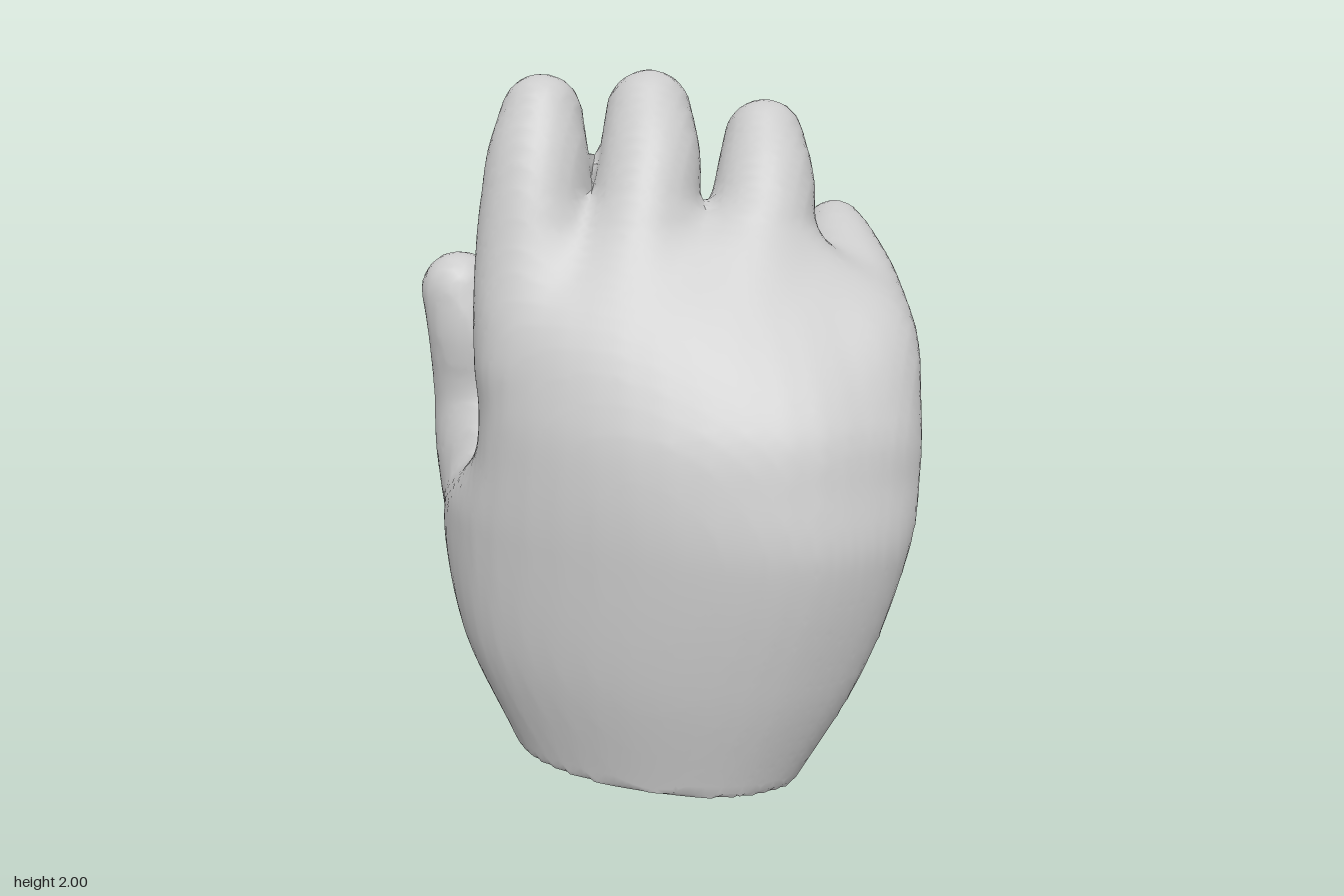
import * as THREE from 'three';
import { toCreasedNormals } from 'three/addons/utils/BufferGeometryUtils.js';

const V = (x, y, z) => new THREE.Vector3(x, y, z);

// Digits: stations are [x, y, z, radius] from root to tip.
const THUMB = [
  [-.24, -.1, -.04, .15], [-.39, .3, -.1, .215], [-.475, .55, -.105, .24], [-.565, .8, -.105, .2],
  [-.625, 1.0, -.11, .15], [-.645, 1.2, -.075, .13], [-.675, 1.325, -.075, .118],
];
const FINGERS = [
  [[-.32, 1.2, .27, .13], [-.335, 1.5, .19, .15], [-.345, 1.72, .11, .15], [-.35, 1.875, .05, .118]],
  [[-.04, 1.2, .27, .13], [-.04, 1.5, .12, .15], [-.045, 1.72, -.01, .15], [-.075, 1.875, -.105, .125]],
  [[.25, 1.15, .2, .13], [.27, 1.42, .02, .15], [.265, 1.64, -.14, .15], [.24, 1.795, -.235, .118]],
  [[.62, 1.0, .14, .12], [.59, 1.23, -.01, .15], [.525, 1.345, -.2, .145], [.445, 1.445, -.38, .122], [.41, 1.5, -.475, .092]],
];

// Palm sections [x, z]: thumb side, along the back, little finger side, hollow.
const PALM = [
  [0, [[-.43, .12], [-.31, .34], [.05, .47], [.35, .42], [.48, .27], [.36, .1], [.05, .02], [-.22, -.03]]],
  [.35, [[-.62, .05], [-.46, .36], [.05, .54], [.48, .46], [.665, .24], [.46, .02], [.08, .14], [-.17, .02]]],
  [.72, [[-.65, .08], [-.45, .4], [.1, .57], [.58, .47], [.78, .2], [.6, -.04], [.14, .18], [-.22, .07]]],
  [.92, [[-.5, .16], [-.41, .41], [.08, .56], [.57, .44], [.79, .14], [.63, -.09], [.16, .18], [-.28, .11]]],
  [1.1, [[-.48, .21], [-.38, .42], [.05, .52], [.56, .38], [.77, .1], [.63, -.13], [.2, .13], [-.3, .14]]],
  [1.35, [[-.47, .24], [-.38, .38], [0, .4], [.46, .23], [.68, .02], [.57, -.17], [.22, -.02], [-.3, .08]]],
  [1.6, [[-.46, .17], [-.38, .25], [-.03, .18], [.26, .07], [.36, -.04], [.32, -.17], [.08, -.06], [-.3, .04]]],
];
const PALM_TOP = 1.6;

// Soft minimum, used to melt one form into the next.
function blend(a, b, k) {
  const h = Math.max(k - Math.abs(a - b), 0) / k;
  return Math.min(a, b) - h * h * k / 4;
}

// Distance to a row of closely spaced balls along a digit.
function digitField(stations) {
  const curve = pts => new THREE.CatmullRomCurve3(pts, false, 'catmullrom');
  const path = curve(stations.map(s => V(s[0], s[1], s[2])));
  const size = curve(stations.map((s, i) => V(s[3], i, 0)));
  const balls = Array.from({ length: 30 }, (_, i) => ({ c: path.getPoint(i / 29), r: size.getPoint(i / 29).x }));
  return (x, y, z) => {
    let d = Infinity;
    for (const { c, r } of balls) d = Math.min(d, Math.hypot(x - c.x, y - c.y, z - c.z) - r);
    return d;
  };
}

// Outline of the palm at height y: smooth loops, eased from section to section.
const palmLoops = PALM.map(([y, pts]) => {
  const loop = new THREE.CatmullRomCurve3(pts.map(([x, z]) => V(x, 0, z)), true);
  return { y, pts: Array.from({ length: 40 }, (_, j) => loop.getPoint(j / 40)) };
});

function palmOutline(y) {
  const last = palmLoops.length - 1;
  let i = 0;
  while (i < last - 1 && y > palmLoops[i + 1].y) i++;
  const a = palmLoops[i], b = palmLoops[i + 1], gap = b.y - a.y;
  const t = THREE.MathUtils.clamp((y - a.y) / gap, 0, 1), t2 = t * t, t3 = t2 * t;
  const slope = (n, j) => {
    const lo = palmLoops[Math.max(n - 1, 0)], hi = palmLoops[Math.min(n + 1, last)];
    return hi.pts[j].clone().sub(lo.pts[j]).multiplyScalar(gap / (hi.y - lo.y));
  };
  return a.pts.map((p, j) => p.clone().multiplyScalar(2 * t3 - 3 * t2 + 1)
    .addScaledVector(slope(i, j), t3 - 2 * t2 + t)
    .addScaledVector(b.pts[j], 3 * t2 - 2 * t3)
    .addScaledVector(slope(i + 1, j), t3 - t2));
}

// Signed distance to a closed outline in x and z, negative inside.
function outlineDistance(pts, x, z) {
  let d = Infinity, inside = false;
  for (let i = 0, j = pts.length - 1; i < pts.length; j = i++) {
    const a = pts[i], b = pts[j], ex = b.x - a.x, ez = b.z - a.z, wx = x - a.x, wz = z - a.z;
    const t = THREE.MathUtils.clamp((wx * ex + wz * ez) / (ex * ex + ez * ez), 0, 1);
    d = Math.min(d, Math.hypot(wx - ex * t, wz - ez * t));
    if ((a.z > z) !== (b.z > z) && x < a.x + ex * (z - a.z) / ez) inside = !inside;
  }
  return inside ? -d : d;
}

// Sample the blended form on a grid; the bottom layer is empty, which cuts the wrist flat.
function sampleHand(size, min, h) {
  const [nx, ny, nz] = size, field = new Float32Array(nx * ny * nz).fill(1e3);
  const thumb = digitField(THUMB), fingers = FINGERS.map(digitField);
  for (let j = 1; j < ny; j++) {
    const y = min[1] + j * h, outline = palmOutline(y);
    for (let k = 0; k < nz; k++) {
      for (let i = 0; i < nx; i++) {
        const x = min[0] + i * h, z = min[2] + k * h;
        const palm = -blend(-outlineDistance(outline, x, z), PALM_TOP - y, 0.08);
        const digits = fingers.reduce((d, f) => blend(d, f(x, y, z), 0.02), 1e3);
        field[i + nx * (j + ny * k)] = blend(blend(palm, digits, 0.08), thumb(x, y, z), 0.09);
      }
    }
  }
  return field;
}

// Skin: one point per grid cell the surface crosses, one quad per crossed grid edge.
function skinGeometry(field, size, min, h) {
  const [nx, ny, nz] = size, step = [1, nx, nx * ny];
  const corner = c => (c & 1) + (c >> 1 & 1) * step[1] + (c >> 2) * step[2];
  const pos = [], idx = [], vertex = new Map();
  const eachCell = fn => {
    for (let k = 1; k < nz - 1; k++)
      for (let j = 0; j < ny - 1; j++)
        for (let i = 1; i < nx - 1; i++) fn(i, j, k, i + nx * (j + ny * k));
  };
  eachCell((i, j, k, p) => {
    const sum = [0, 0, 0];
    let count = 0;
    for (let c = 0; c < 8; c++) {
      for (let a = 0; a < 3; a++) {
        if (c >> a & 1) continue;
        const f0 = field[p + corner(c)], f1 = field[p + corner(c | 1 << a)];
        if (f0 < 0 === f1 < 0) continue;
        for (let m = 0; m < 3; m++) sum[m] += m === a ? f0 / (f0 - f1) : c >> m & 1;
        count++;
      }
    }
    if (!count) return;
    vertex.set(p, pos.length / 3);
    [i, j, k].forEach((g, m) => pos.push(min[m] + h * (g + sum[m] / count)));
  });
  eachCell((i, j, k, p) => {
    for (let a = 0; a < 3; a++) {
      const inside = field[p] < 0;
      if (inside === field[p + step[a]] < 0) continue;
      const u = step[(a + 1) % 3], v = step[(a + 2) % 3];
      const q = [p - u - v, p - v, p, p - u].map(c => vertex.get(c));
      if (!inside) q.reverse();
      idx.push(q[0], q[1], q[2], q[0], q[2], q[3]);
    }
  });
  const geo = new THREE.BufferGeometry();
  geo.setAttribute('position', new THREE.Float32BufferAttribute(pos, 3));
  geo.setIndex(idx);
  return toCreasedNormals(geo, 0.9);
}

export function createModel() {
  const h = 0.027, size = [64, 78, 50], min = [-.86, -h, -.66];
  const field = sampleHand(size, min, h);
  const skin = new THREE.Mesh(
    skinGeometry(field, size, min, h),
    new THREE.MeshStandardMaterial({ color: 0xcccccc }),
  );
  skin.name = 'handSkin';
  const hand = new THREE.Group();
  hand.name = 'hand';
  hand.add(skin);
  return hand;
}
